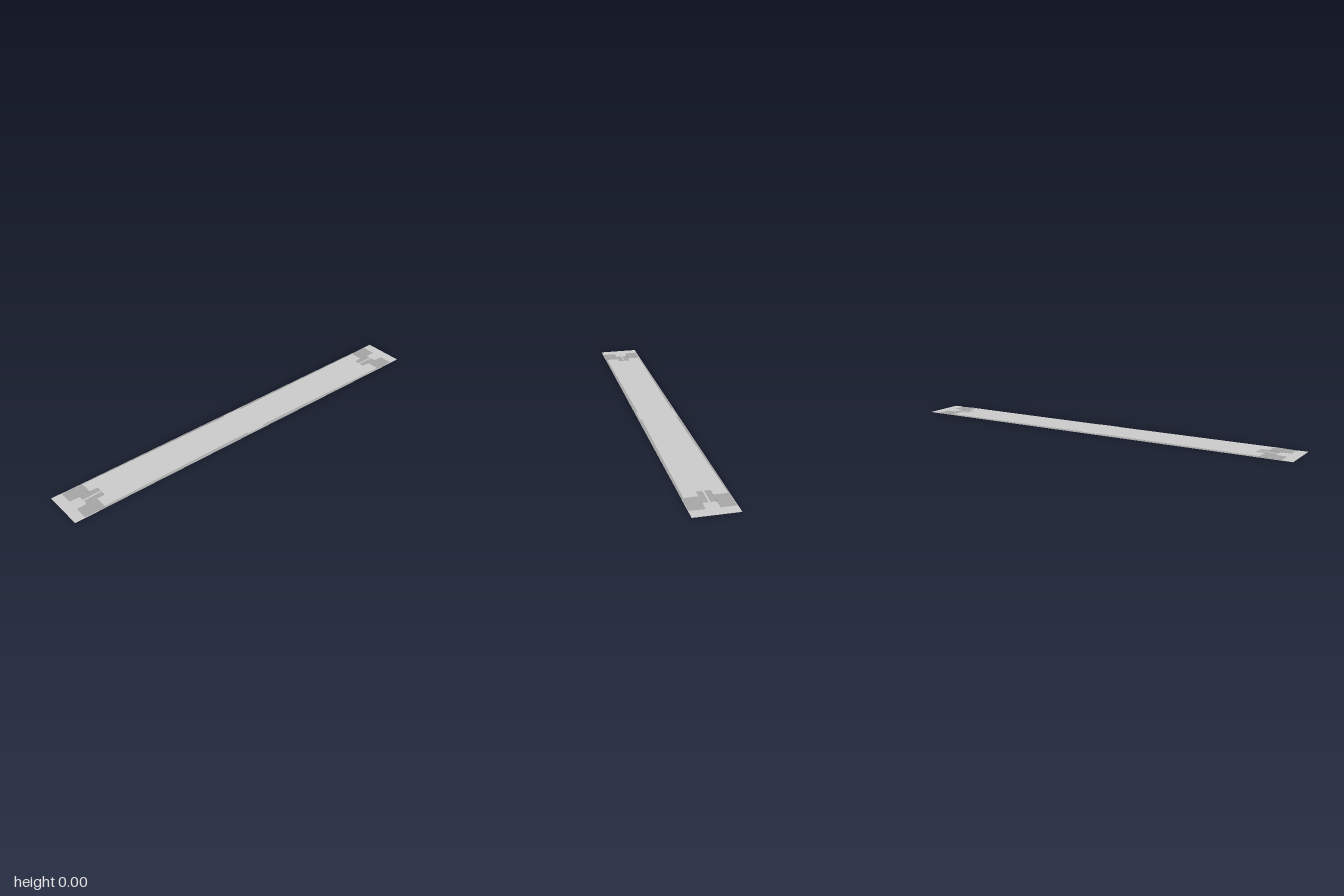
import * as THREE from 'three';

const TOP = 0.0045, CAP = 0.0018, BASE = 0.001;

// Four-cornered slab: sloped top given counter-clockwise from above, walls down to the base
function slab(name, corners, material) {
  const pos = [];
  const quad = (a, b, c, d) => pos.push(...a, ...b, ...c, ...a, ...c, ...d);
  const low = corners.map(([x, , z]) => [x, BASE, z]);
  quad(...corners);
  for (let i = 0; i < 4; i++) {
    const j = (i + 1) % 4;
    quad(low[i], low[j], corners[j], corners[i]);
  }
  const geo = new THREE.BufferGeometry();
  geo.setAttribute('position', new THREE.Float32BufferAttribute(pos, 3));
  geo.computeVertexNormals();
  const mesh = new THREE.Mesh(geo, material);
  mesh.name = name;
  return mesh;
}

// Rectangle in plan, sloping from y0 at z0 to y1 at z1
const ramp = (x0, x1, z0, z1, y0, y1) =>
  [[x0, y1, z1], [x1, y1, z1], [x1, y0, z0], [x0, y0, z0]];

export function createModel() {
  const group = new THREE.Group();
  const light = new THREE.MeshStandardMaterial({ color: 0xcccccc, flatShading: true });
  const dark = new THREE.MeshStandardMaterial({ color: 0xa6a6a6, flatShading: true });

  // Thin full-size sheet underneath
  const base = new THREE.Mesh(new THREE.BoxGeometry(0.2, BASE, 2), light);
  base.position.y = BASE / 2;
  base.name = 'baseSheet';
  group.add(base);

  // Raised deck with a notch in each end and edges waisted toward the middle
  const half = [
    [0.03, -0.81], [0.03, -0.85], [0.092, -0.85], [0.085, -0.05], [0.092, -0.05],
    [0.092, 0.05], [0.085, 0.05], [0.092, 0.85], [0.03, 0.85], [0.03, 0.81],
  ];
  const outline = [...half, ...half.map(([x, y]) => [-x, -y])];
  const deckGeo = new THREE.ExtrudeGeometry(
    new THREE.Shape(outline.map(([x, y]) => new THREE.Vector2(x, y))),
    { depth: TOP - BASE, bevelEnabled: false });
  deckGeo.rotateX(-Math.PI / 2).translate(0, BASE, 0);
  const deck = new THREE.Mesh(deckGeo, light);
  deck.name = 'deck';
  group.add(deck);

  for (const turn of [0, Math.PI]) {
    const end = new THREE.Group();
    end.name = turn ? 'backHalf' : 'frontHalf';
    end.rotation.y = turn;

    // End plate with its tapered tongue
    end.add(slab('endPlate', ramp(-0.1, 0.1, 0.95, 1, CAP, CAP), light));
    end.add(slab('endTongue', [
      [-0.035, CAP, 0.95], [0.035, CAP, 0.95], [0.026, CAP, 0.9], [-0.026, CAP, 0.9],
    ], light));
    // Narrow rib along the middle of the notch
    end.add(slab('centreRib', ramp(-0.004, 0.004, 0.81, 0.9, TOP, CAP), light));

    for (const s of [-1, 1]) {
      const span = (a, b) => (s > 0 ? [a, b] : [-b, -a]);
      // Sloping shoulders beside the tongue and slopes inside the notch
      end.add(slab('shoulderRamp', ramp(...span(0.03, 0.096), 0.85, 0.95, TOP, CAP), dark));
      end.add(slab('notchRamp', ramp(...span(0.004, 0.03), 0.81, 0.9, TOP - 0.0006, CAP), dark));

      // Bevelled long edge, widening toward the middle, with a plain central piece
      const bevel = (name, z0, z1, in0, in1) => {
        const c = [[s * in1, TOP, z1], [s * 0.1, CAP, z1], [s * 0.1, CAP, z0], [s * in0, TOP, z0]];
        end.add(slab(name, s > 0 ? c : c.reverse(), dark));
      };
      bevel('edgeBevel', 0.05, 0.85, 0.085, 0.092);
      bevel('middleEdge', 0, 0.05, 0.092, 0.092);
    }
    group.add(end);
  }
  return group;
}
